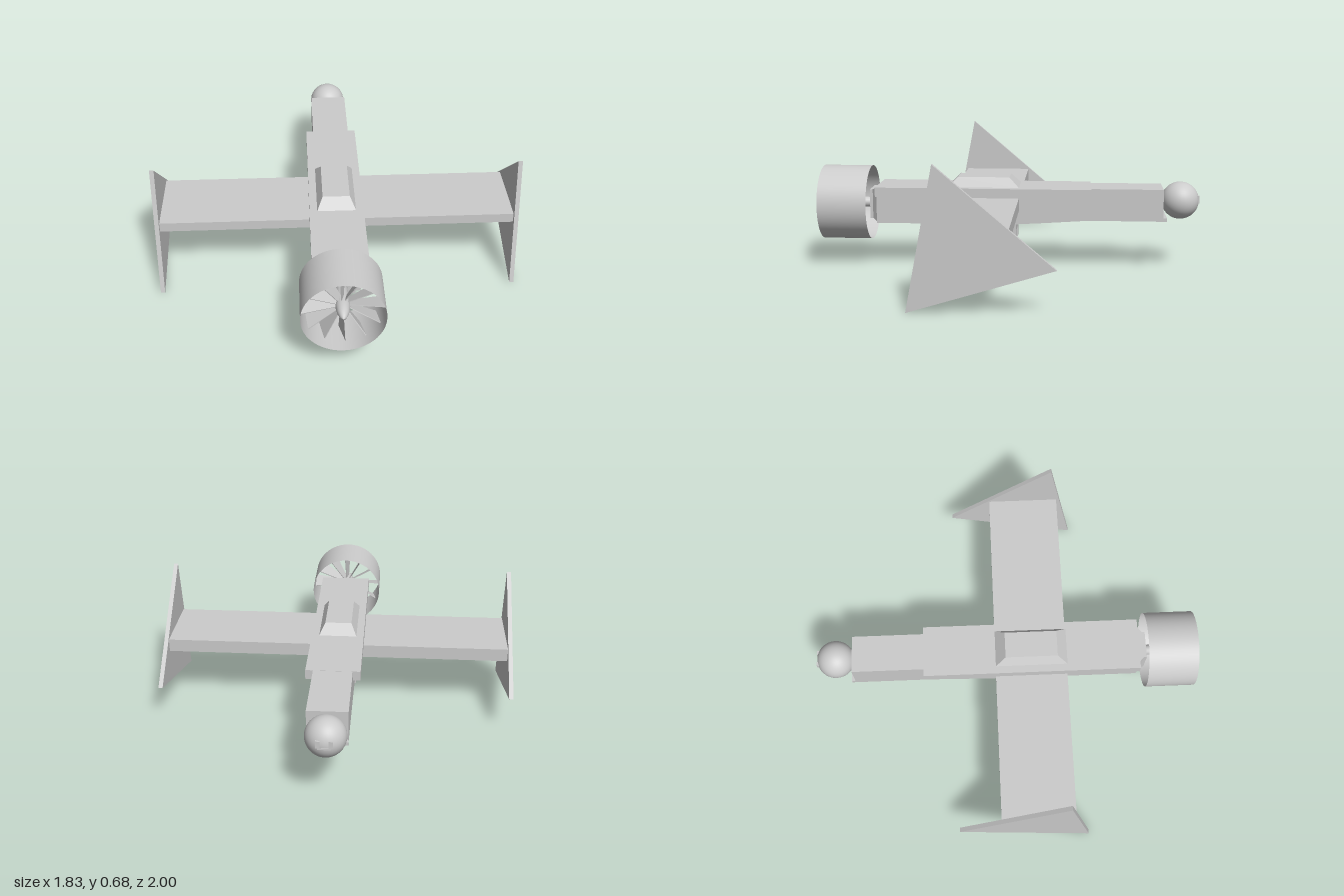
import * as THREE from 'three';

const material = new THREE.MeshStandardMaterial({ color: 0xcccccc });
const openMaterial = new THREE.MeshStandardMaterial({ color: 0xcccccc, side: THREE.DoubleSide });

function add(parent, name, geometry, x = 0, y = 0, z = 0, mat = material) {
  const mesh = new THREE.Mesh(geometry, mat);
  mesh.name = name;
  mesh.position.set(x, y, z);
  parent.add(mesh);
  return mesh;
}

// Box given by its limits on each axis
function block(parent, name, [x0, x1], [y0, y1], [z0, z1]) {
  return add(parent, name, new THREE.BoxGeometry(x1 - x0, y1 - y0, z1 - z0),
    (x0 + x1) / 2, (y0 + y1) / 2, (z0 + z1) / 2);
}

// Side outline of [z, y] points, extruded across x and centred on x = 0
function sideProfile(points, width) {
  const shape = new THREE.Shape(points.map(([z, y]) => new THREE.Vector2(z, y)));
  return new THREE.ExtrudeGeometry(shape, { depth: width, bevelEnabled: false })
    .translate(0, 0, -width / 2).rotateY(-Math.PI / 2);
}

// Box whose +z end is scaled down, for the nose and canopy
function taperedBox(w, h, d, sx, sy, shiftY = 0) {
  const g = new THREE.BoxGeometry(w, h, d).toNonIndexed();
  const p = g.attributes.position;
  for (let i = 0; i < p.count; i++) {
    if (p.getZ(i) > 0) p.setXY(i, p.getX(i) * sx, p.getY(i) * sy + shiftY);
  }
  g.computeVertexNormals();
  return g;
}

export function createModel() {
  const model = new THREE.Group();
  model.name = 'aircraft';

  const body = new THREE.Group();
  body.name = 'fuselage';
  body.position.x = -0.005;
  model.add(body);

  // Hull with a gently rising rear belly, wide deck and tail lip
  add(body, 'hull', sideProfile([
    [0.7, 0.235], [0.7, 0.43], [-0.805, 0.43], [-0.805, 0.262], [-0.42, 0.262], [-0.2, 0.247], [0, 0.235],
  ], 0.196));
  block(body, 'deck', [-0.136, 0.136], [0.382, 0.431], [-0.43, 0.7]);
  block(body, 'tailLip', [-0.098, 0.098], [0.262, 0.28], [-0.825, -0.8]);

  // Nose and canopy
  add(body, 'nose', taperedBox(0.196, 0.18, 0.025, 0.72, 0.86), 0, 0.333, 0.712);
  block(body, 'noseCollar', [-0.07, 0.07], [0.255, 0.41], [0.72, 0.74]);
  const canopy = add(body, 'canopy', taperedBox(0.196, 0.376, 0.052, 0.7, 0.72), 0, 0.456, 0.133);
  canopy.rotation.x = -Math.PI / 2;

  // Ducted fan
  const fan = new THREE.Group();
  fan.name = 'ductedFan';
  fan.position.set(0, 0.33, 0.867);
  body.add(fan);
  add(fan, 'duct', new THREE.CylinderGeometry(0.197, 0.197, 0.258, 48, 1, true).rotateX(Math.PI / 2),
    0, 0, 0, openMaterial);
  const spinner = [[0.001, -0.14], [0.025, -0.13], [0.033, 0], [0.034, 0.05], [0.027, 0.09], [0.014, 0.12], [0.001, 0.133]]
    .map(([r, y]) => new THREE.Vector2(r, y));
  add(fan, 'spinner', new THREE.LatheGeometry(spinner, 20).rotateX(Math.PI / 2));

  // Blades widen towards the tip and stand nearly along the axis
  const bladeShape = new THREE.Shape([[-0.02, 0.02], [0.02, 0.02], [0.055, 0.192], [-0.055, 0.192]]
    .map(([x, y]) => new THREE.Vector2(x, y)));
  const bladeGeometry = new THREE.ExtrudeGeometry(bladeShape, { depth: 0.004, bevelEnabled: false })
    .translate(0, 0, -0.002).rotateY(1.32);
  for (let i = 0; i < 12; i++) {
    add(fan, 'fanBlade', bladeGeometry, 0, 0, 0.02).rotation.z = i * Math.PI / 6;
  }

  // Wing with a slightly deeper rear edge
  add(model, 'wing', sideProfile([[0.32, 0.33], [0.32, 0.38], [-0.055, 0.38], [-0.055, 0.312]], 1.8));

  // Triangular wingtip fins
  const fin = sideProfile([[0.28, 0.675], [-0.27, 0.207], [0.408, 0]], 0.022);
  for (const side of [-1, 1]) add(model, 'wingtipFin', fin, side * 0.905);

  // Tail sensor ball with small windows
  add(body, 'tailBall', new THREE.SphereGeometry(0.098, 32, 24), 0, 0.36, -0.898);
  for (const side of [-1, 1]) {
    block(body, 'sensorWindow', [side * 0.03 - 0.01, side * 0.03 + 0.01], [0.355, 0.39], [-0.995, -0.96]);
  }
  block(body, 'sensorBar', [-0.03, 0.03], [0.348, 0.358], [-0.997, -0.96]);

  // Belly ball on a short neck
  add(body, 'bellyNeck', new THREE.CylinderGeometry(0.045, 0.045, 0.08, 20), 0, 0.215, 0.2);
  add(body, 'bellyBall', new THREE.SphereGeometry(0.08, 32, 24), 0, 0.137, 0.2);

  // Barrel cluster pointing back and slightly down
  const barrels = new THREE.Group();
  barrels.name = 'barrels';
  barrels.position.set(0, 0.125, 0.16);
  barrels.rotation.x = -0.25;
  body.add(barrels);
  const barrel = new THREE.CylinderGeometry(0.011, 0.011, 0.13, 12).rotateX(Math.PI / 2);
  for (let i = 0; i < 4; i++) {
    const a = Math.PI / 4 + i * Math.PI / 2;
    add(barrels, 'barrel', barrel, 0.02 * Math.cos(a), 0.02 * Math.sin(a), -0.065);
  }
  add(barrels, 'barrelClamp', new THREE.CylinderGeometry(0.03, 0.03, 0.015, 16).rotateX(Math.PI / 2), 0, 0, -0.09);

  // Notched belly bracket
  block(body, 'bracketBeam', [-0.098, 0.098], [0.2, 0.25], [-0.04, 0.05]);
  for (const side of [-1, 1]) {
    block(body, 'bracketLeg', [side * 0.074 - 0.024, side * 0.074 + 0.024], [0.142, 0.21], [-0.04, 0.05]);
  }

  return model;
}
